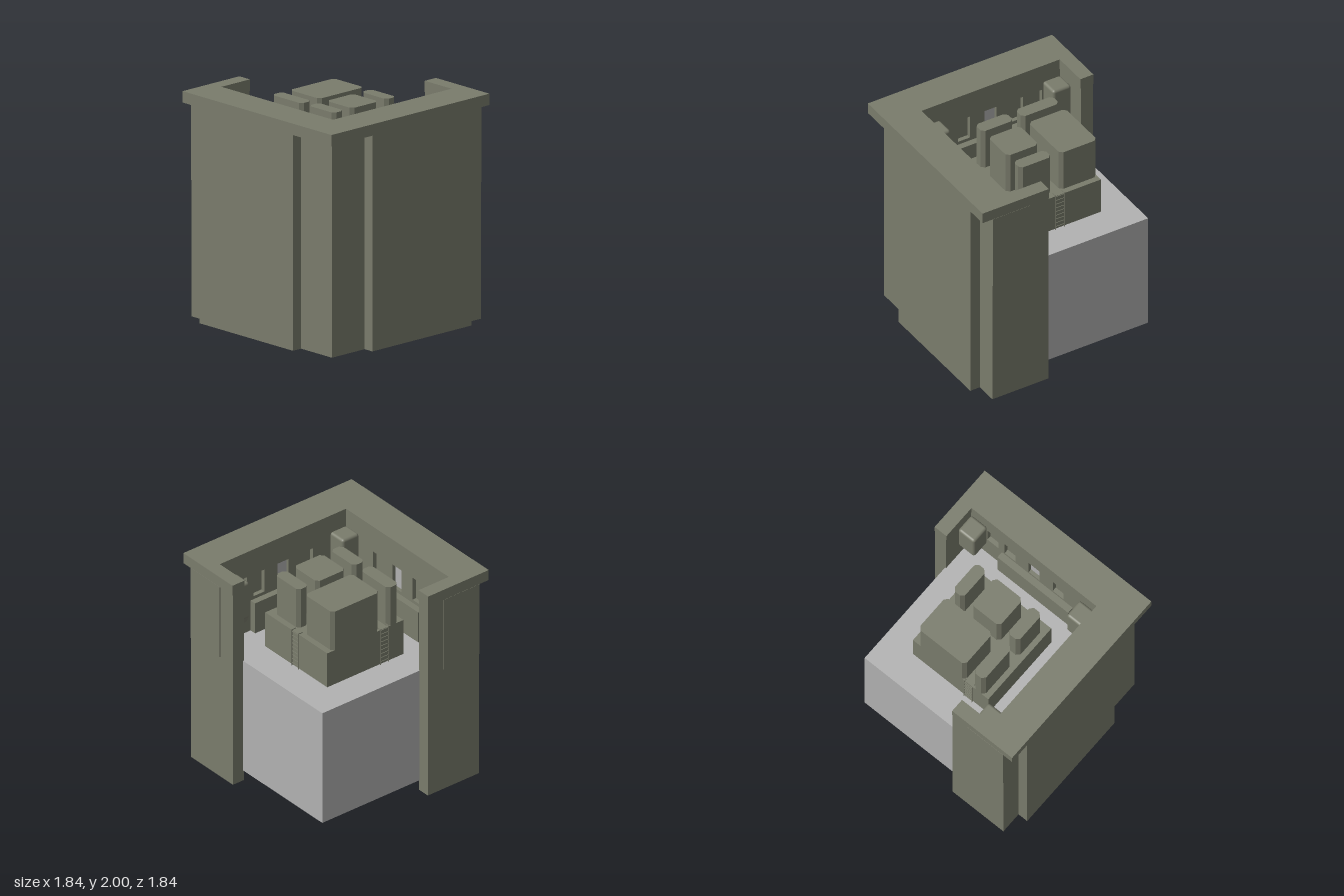
import * as THREE from 'three';
import { RoundedBoxGeometry } from 'three/addons/geometries/RoundedBoxGeometry.js';

export function createModel() {
  const model = new THREE.Group();
  model.name = 'towerCorner';
  const olive = new THREE.MeshStandardMaterial({ color: 0x7a7c6c });
  olive.name = 'olive';
  const grey = new THREE.MeshStandardMaterial({ color: 0xb2b2b2 });
  grey.name = 'grey';

  const add = (name, geometry, material = olive, parent = model) => {
    const mesh = new THREE.Mesh(geometry, material);
    mesh.name = name;
    parent.add(mesh);
    return mesh;
  };
  const box = (name, x0, x1, y0, y1, z0, z1, material, parent) => {
    const g = new THREE.BoxGeometry(x1 - x0, y1 - y0, z1 - z0);
    g.translate((x0 + x1) / 2, (y0 + y1) / 2, (z0 + z1) / 2);
    return add(name, g, material, parent);
  };
  const toShape = (pts) => new THREE.Shape(pts.map((p) => new THREE.Vector2(...p)));

  // Upright prism over a plan given as [x, -z]
  const prism = (name, pts, y0, y1, material) => {
    const g = new THREE.ExtrudeGeometry(toShape(pts), { depth: y1 - y0, bevelEnabled: false });
    g.rotateX(-Math.PI / 2);
    g.translate(0, y0, 0);
    return add(name, g, material);
  };

  // The plan is mirrored about the diagonal, which swaps the two plan coordinates
  const swap = ([a, b]) => [b, a];
  const symmetric = (half) => [...half, ...half.slice(0, -1).reverse().map(swap)];
  const ring = (outer, inner) => [...symmetric(outer), ...symmetric(inner).reverse()];
  const pair = (name, pts, y0, y1) => {
    prism(name, pts, y0, y1);
    prism(name, pts.map(swap), y0, y1);
  };
  const rect = (x0, x1, v0, v1) => [[x0, v0], [x1, v0], [x1, v1], [x0, v1]];

  // Core block
  box('coreBlock', -0.8, 0.8, 0.1, 1.2, -0.8, 0.8, grey);

  // Outer wall shell with a projecting bay on each face
  prism('outerWall', ring(
    [[0.91, -0.26], [0.91, -0.82], [0.71, -0.82], [0.71, -0.915], [-0.44, -0.915], [-0.44, -0.82], [-0.82, -0.82]],
    [[0.79, -0.26], [0.79, -0.71], [0.6, -0.71], [0.6, -0.81], [-0.33, -0.81], [-0.33, -0.71], [-0.71, -0.71]],
  ), 0, 1.9);

  // Parapet cap
  prism('parapet', ring(
    [[0.915, -0.26], [0.915, -0.92], [-0.92, -0.92]],
    [[0.785, -0.26], [0.785, -0.59], [-0.59, -0.59]],
  ), 1.9, 2);

  // Thin raised panels on the wall ends
  pair('endPanel', rect(0.905, 0.917, -0.82, -0.43), 1.2, 1.9);

  // Inner lining with recessed windows, one of them glazed grey
  const windows = [0.55, 0.36, 0.095, -0.17];
  const lining = (sign, turn) => {
    const group = new THREE.Group();
    group.name = 'innerWall';
    const shape = toShape(rect(Math.min(-0.59 * sign, 0.79 * sign), Math.max(-0.59 * sign, 0.79 * sign), 1.2, 1.9));
    for (const w of windows) {
      const u = w * sign;
      shape.holes.push(new THREE.Path(rect(u - 0.06, u + 0.06, 1.53, 1.75).map((p) => new THREE.Vector2(...p))));
    }
    const g = new THREE.ExtrudeGeometry(shape, { depth: 0.04, bevelEnabled: false });
    g.translate(0, 0, -0.63);
    add('windowWall', g, olive, group);
    const ends = [-0.7 * sign, 0.79 * sign].sort((a, b) => a - b);
    box('wallBacking', ...ends, 1.2, 1.9, -0.8, -0.63, olive, group);
    const c = 0.095 * sign;
    box('windowPane', c - 0.06, c + 0.06, 1.53, 1.75, -0.63, -0.622, grey, group);
    group.rotation.y = turn;
    model.add(group);
  };
  lining(1, Math.PI / 2);
  lining(-1, Math.PI);

  // Ledges under the windows
  pair('ledge', rect(-0.6, -0.53, -0.33, 0.45), 1.2, 1.5);

  // Rounded pods in the three corners, each on a sloped bracket
  for (const [x, z] of [[-0.5, -0.7], [-0.5, 0.5], [0.695, 0.5]]) {
    const pod = new THREE.Group();
    pod.name = 'cornerPod';
    add('podBody', new RoundedBoxGeometry(0.18, 0.36, 0.18, 3, 0.025), olive, pod);
    const bracket = new THREE.CylinderGeometry(0.12, 0.1, 0.06, 4);
    bracket.rotateY(Math.PI / 4);
    add('podBracket', bracket.toNonIndexed(), olive, pod).position.y = -0.19;
    pod.children[1].geometry.computeVertexNormals();
    pod.position.set(x, 1.66, z);
    model.add(pod);
  }

  // Central building base
  box('buildingBase', -0.32, 0.51, 1.2, 1.54, -0.51, 0.32);

  // Towers with chamfered corners: x0, x1, z0, z1
  for (const [x0, x1, z0, z1] of [
    [-0.27, -0.15, -0.51, -0.14],
    [-0.06, 0.455, -0.51, -0.14],
    [-0.27, -0.15, -0.055, 0.26],
    [-0.06, 0.25, -0.055, 0.26],
    [0.34, 0.455, -0.055, 0.26],
  ]) {
    const c = 0.03;
    prism('tower', [
      [x0 + c, -z1], [x1 - c, -z1], [x1, -z1 + c], [x1, -z0 - c],
      [x1 - c, -z0], [x0 + c, -z0], [x0, -z0 - c], [x0, -z1 + c],
    ], 1.54, 1.925);
  }

  // Ladders on two faces of the base
  const ladder = (x, z, turn) => {
    const group = new THREE.Group();
    group.name = 'ladder';
    for (const s of [-1, 1]) {
      box('rail', s * 0.044 - 0.003, s * 0.044 + 0.003, 1.2, 1.56, 0.008, 0.016, olive, group);
      box('railTop', s * 0.044 - 0.003, s * 0.044 + 0.003, 1.552, 1.56, -0.03, 0.016, olive, group);
    }
    for (let i = 0; i < 9; i++) {
      const y = 1.225 + i * 0.039;
      box('rung', -0.044, 0.044, y, y + 0.006, 0.008, 0.014, olive, group);
    }
    group.position.set(x, 0, z);
    group.rotation.y = turn;
    model.add(group);
  };
  ladder(0.51, -0.095, Math.PI / 2);
  ladder(-0.105, -0.51, Math.PI);

  return model;
}
